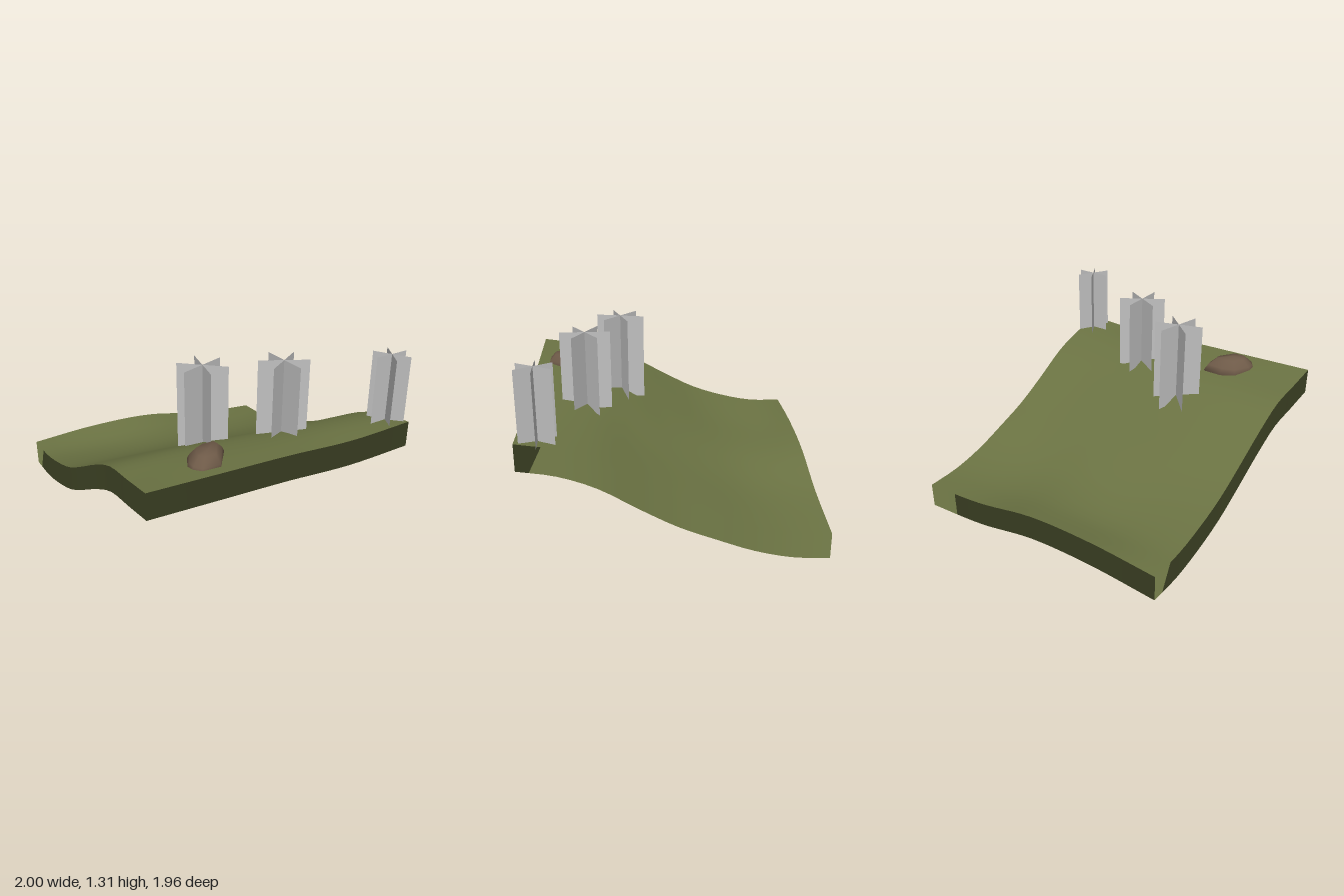
import * as THREE from 'three';

const grass = new THREE.MeshStandardMaterial({ color: 0x6b7343, side: THREE.DoubleSide });
grass.name = 'grass green';
const stone = new THREE.MeshStandardMaterial({ color: 0x6e5a48 });
stone.name = 'stone brown';
const leaf = new THREE.MeshStandardMaterial({ color: 0xc0c0c0, side: THREE.DoubleSide });
leaf.name = 'foliage grey';

// Ground heights: one row per x from right to left, each from front to back
const HEIGHTS = [
  [0.915, 0.88, 0.845, 0.735, 0.6, 0.475, 0.395, 0.345, 0.34],
  [0.895, 0.87, 0.825, 0.71, 0.575, 0.44, 0.35, 0.315, 0.36],
  [0.875, 0.85, 0.79, 0.67, 0.53, 0.41, 0.325, 0.3, 0.335],
  [0.845, 0.83, 0.755, 0.61, 0.475, 0.36, 0.27, 0.23, 0.235],
  [0.855, 0.815, 0.725, 0.58, 0.445, 0.345, 0.255, 0.2, 0.185],
];
const X0 = -1, X1 = 0.957, Z0 = 0.98, Z1 = -0.98, SKIRT = 0.18, N = 24;

// Smooth interpolation through evenly spaced values
function spline(values, t) {
  const last = values.length - 1;
  const i = Math.min(Math.floor(t * last), last - 1);
  const f = t * last - i;
  const b = values[i], c = values[i + 1];
  const a = i > 0 ? values[i - 1] : 2 * b - c;
  const d = i + 2 <= last ? values[i + 2] : 2 * c - b;
  return b + 0.5 * f * (c - a + f * (2 * a - 5 * b + 4 * c - d + f * (3 * (b - c) + d - a)));
}
const heightAt = (u, v) => spline(HEIGHTS.map((row) => spline(row, v)), u);

function makeGeometry(positions, index) {
  const g = new THREE.BufferGeometry();
  g.setAttribute('position', new THREE.Float32BufferAttribute(positions, 3));
  g.setIndex(index);
  g.computeVertexNormals();
  return g;
}

function addMesh(parent, name, geometry, material) {
  const mesh = new THREE.Mesh(geometry, material);
  mesh.name = name;
  parent.add(mesh);
  return mesh;
}

// Rolling ground sheet
function groundGeometry() {
  const p = [], index = [];
  for (let j = 0; j <= N; j++) {
    for (let i = 0; i <= N; i++) {
      const u = i / N, v = j / N;
      p.push(X0 + (X1 - X0) * u, heightAt(u, v), Z0 + (Z1 - Z0) * v);
      if (i < N && j < N) {
        const a = j * (N + 1) + i, d = a + N + 1;
        index.push(a, a + 1, d + 1, a, d + 1, d);
      }
    }
  }
  return makeGeometry(p, index);
}

// Skirt hanging from the rim; it keeps the ground's normals so the edge reads soft
function skirtGeometry(ground) {
  const rim = [];
  const at = (i, j) => j * (N + 1) + i;
  for (let k = 0; k < N; k++) rim.push(at(k, 0));
  for (let k = 0; k < N; k++) rim.push(at(N, k));
  for (let k = N; k > 0; k--) rim.push(at(k, N));
  for (let k = N; k > 0; k--) rim.push(at(0, k));
  const pos = ground.attributes.position, nor = ground.attributes.normal;
  const p = [], n = [], index = [];
  rim.forEach((id, k) => {
    for (const drop of [0, SKIRT]) {
      p.push(pos.getX(id), pos.getY(id) - drop, pos.getZ(id));
      n.push(nor.getX(id), nor.getY(id), nor.getZ(id));
    }
    const a = 2 * k, b = 2 * ((k + 1) % rim.length);
    index.push(a + 1, b + 1, b, a + 1, b, a);
  });
  const g = makeGeometry(p, index);
  g.setAttribute('normal', new THREE.Float32BufferAttribute(n, 3));
  return g;
}

// Boulder: one outline scaled at several heights, capped at both ends
function rockGeometry() {
  const cx = -0.48, cz = 0.78;
  const outline = [[-0.64, 0.79], [-0.64, 0.85], [-0.6, 0.91], [-0.46, 0.91],
    [-0.32, 0.7], [-0.33, 0.635], [-0.47, 0.63], [-0.57, 0.67]];
  const levels = [[0.735, 0.4], [0.78, 0.75], [0.86, 1], [0.9, 0.86], [0.95, 0.54]];
  const m = outline.length, p = [], index = [];
  levels.forEach(([y, s], r) => outline.forEach(([x, z], k) => {
    p.push(cx + (x - cx) * s, y, cz + (z - cz) * s);
    if (r + 1 < levels.length) {
      const a = r * m + k, b = r * m + (k + 1) % m;
      index.push(a, b, b + m, a, b + m, a + m);
    }
  }));
  const bottom = p.length / 3, top = bottom + 1, ring = (levels.length - 1) * m;
  p.push(cx, 0.73, cz, cx, 0.957, cz);
  for (let k = 0; k < m; k++) {
    const next = (k + 1) % m;
    index.push(bottom, next, k, top, ring + k, ring + next);
  }
  return makeGeometry(p, index);
}

// Bush: three upright cards crossing at 60 degrees
function makeBush(name, x, z, bottom, top, radius, angle) {
  const bush = new THREE.Group();
  bush.name = name;
  bush.position.set(x, (bottom + top) / 2, z);
  for (let k = 0; k < 3; k++) {
    const card = addMesh(bush, 'foliageCard', new THREE.PlaneGeometry(2 * radius, top - bottom), leaf);
    card.rotation.y = -THREE.MathUtils.degToRad(angle + 60 * k);
  }
  return bush;
}

export function createModel() {
  const model = new THREE.Group();
  model.name = 'hillside';
  const ground = groundGeometry();
  addMesh(model, 'ground', ground, grass);
  addMesh(model, 'groundSkirt', skirtGeometry(ground), grass);
  addMesh(model, 'rock', rockGeometry(), stone);
  model.add(makeBush('rearBush', -0.27, 0.35, 0.69, 1.3, 0.17, 42));
  model.add(makeBush('middleBush', 0.2, 0.58, 0.775, 1.315, 0.168, 28));
  model.add(makeBush('cornerBush', 0.873, 0.842, 0.835, 1.31, 0.127, -1));
  return model;
}
